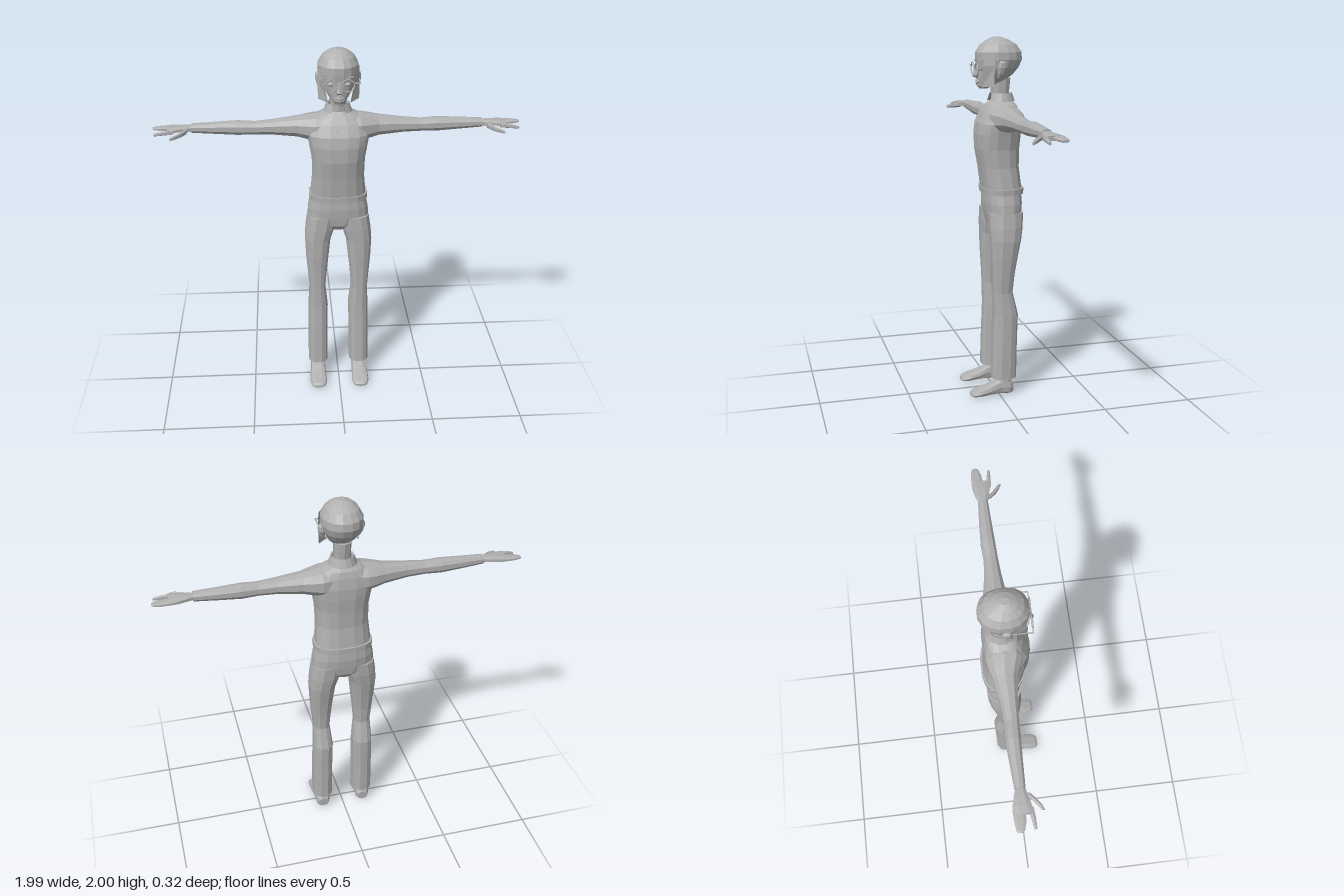
import * as THREE from 'three';

const grey = new THREE.MeshStandardMaterial({ color: 0xb0b0b0, side: THREE.DoubleSide });
grey.name = 'plain grey';

// Split faces so every facet has its own normal
function flat(geo) {
  const g = geo.index ? geo.toNonIndexed() : geo;
  g.computeVertexNormals();
  return g;
}

// Mirror a flat geometry across x = 0, keeping faces outward
function mirrored(geo) {
  const g = geo.clone(), p = g.attributes.position;
  for (let i = 0; i < p.count; i += 3) {
    [0, 2, 1].forEach((s, k) => {
      const q = geo.attributes.position;
      p.setXYZ(i + k, -q.getX(i + s), q.getY(i + s), q.getZ(i + s));
    });
  }
  g.computeVertexNormals();
  return g;
}

// Closed loft along an axis (0 x, 1 y, 2 z).
// Ring = [along, minP, maxP, minQ, maxQ]; P, Q are x,z for y; z,y for x; y,x for z.
function loft(axis, rings, n = 12, e = 0.85) {
  const P = (axis + 2) % 3, Q = (axis + 1) % 3, pos = [], idx = [];
  const put = (t, p, q) => { const v = []; v[axis] = t; v[P] = p; v[Q] = q; pos.push(...v); };
  const bend = (c) => Math.sign(c) * Math.pow(Math.abs(c), e);
  for (const [t, p0, p1, q0, q1] of rings) {
    for (let j = 0; j < n; j++) {
      const a = ((j + 0.5) / n) * Math.PI * 2;
      put(t, (p0 + p1) / 2 + ((p1 - p0) / 2) * bend(Math.cos(a)), (q0 + q1) / 2 + ((q1 - q0) / 2) * bend(Math.sin(a)));
    }
  }
  for (const r of [rings[0], rings[rings.length - 1]]) put(r[0], (r[1] + r[2]) / 2, (r[3] + r[4]) / 2);
  const m = rings.length, low = m * n, high = low + 1;
  for (let j = 0; j < n; j++) {
    const k = (j + 1) % n;
    for (let i = 0; i < m - 1; i++) {
      const a = i * n + j, b = a + n, c = i * n + k, d = c + n;
      idx.push(a, b, c, b, d, c);
    }
    idx.push(low, j, k, high, (m - 1) * n + k, (m - 1) * n + j);
  }
  const g = new THREE.BufferGeometry();
  g.setAttribute('position', new THREE.Float32BufferAttribute(pos, 3));
  g.setIndex(idx);
  return flat(g);
}

export function createModel() {
  const model = new THREE.Group();
  model.name = 'standingFigure';
  const add = (name, geo) => {
    const mesh = new THREE.Mesh(flat(geo), grey);
    mesh.name = name;
    model.add(mesh);
  };
  const pair = (name, geo) => {
    const g = flat(geo);
    add('left' + name, g);
    add('right' + name, mirrored(g));
  };
  const box = (w, h, d, x, y, z) => new THREE.BoxGeometry(w, h, d).translate(x, y, z);
  const sym = (rows) => rows.map(([y, w, z0, z1]) => [y, -w, w, z0, z1]);

  // Head and neck
  add('head', loft(1, sym([
    [1.725, 0.022, 0.03, 0.078], [1.74, 0.04, 0, 0.086], [1.77, 0.062, -0.07, 0.088],
    [1.8, 0.08, -0.11, 0.09], [1.84, 0.1, -0.143, 0.09], [1.88, 0.11, -0.16, 0.095],
    [1.92, 0.108, -0.157, 0.096], [1.96, 0.086, -0.128, 0.07], [1.985, 0.056, -0.085, 0.035],
    [2, 0.02, -0.045, 0],
  ]), 16, 0.92));
  add('neck', loft(1, sym([[1.62, 0.055, -0.1, 0.01], [1.69, 0.044, -0.09, 0.01], [1.78, 0.046, -0.1, 0.02]]), 10));

  // Face
  add('nose', loft(1, sym([[1.785, 0.012, 0.08, 0.103], [1.795, 0.018, 0.08, 0.118], [1.82, 0.011, 0.08, 0.11], [1.85, 0.007, 0.08, 0.1]]), 6));
  add('upperLip', loft(0, [[-0.026, 0.076, 0.088, 1.764, 1.767], [0, 0.08, 0.101, 1.764, 1.775], [0.026, 0.076, 0.088, 1.764, 1.767]], 6));
  add('lowerLip', loft(0, [[-0.024, 0.076, 0.087, 1.76, 1.763], [0, 0.08, 0.098, 1.75, 1.763], [0.024, 0.076, 0.087, 1.76, 1.763]], 6));
  pair('Eye', new THREE.SphereGeometry(0.016, 8, 6).scale(1.1, 0.7, 0.7).translate(0.043, 1.834, 0.079));
  pair('Brow', box(0.045, 0.007, 0.01, 0.045, 1.872, 0.086).rotateY(0.08));
  pair('Ear', loft(1, [
    [1.785, 0.075, 0.1, -0.025, 0], [1.805, 0.085, 0.112, -0.035, 0.002],
    [1.84, 0.09, 0.122, -0.05, 0.002], [1.865, 0.09, 0.122, -0.047, -0.004], [1.875, 0.095, 0.112, -0.035, -0.012],
  ], 8));

  // Glasses
  pair('LensRim', new THREE.TorusGeometry(0.033, 0.0035, 5, 16).translate(0.045, 1.832, 0.102));
  pair('Temple', box(0.005, 0.006, 0.115, 0.108, 1.845, 0.045));
  pair('Hinge', box(0.034, 0.006, 0.005, 0.092, 1.845, 0.1));
  add('glassesBridge', box(0.026, 0.005, 0.005, 0, 1.838, 0.104));

  // Flat hair locks in front of the ears
  const lock = new THREE.BufferGeometry();
  lock.setAttribute('position', new THREE.Float32BufferAttribute([
    0.108, 1.74, 0.022, 0.058, 1.735, 0.078, 0.112, 1.85, 0.02,
    0.082, 1.85, 0.078, 0.108, 1.92, 0.02, 0.085, 1.905, 0.068], 3));
  lock.setIndex([0, 2, 1, 1, 2, 3, 2, 4, 3, 3, 4, 5]);
  pair('HairLock', lock);

  // Jacket body, hem and folded collar
  add('jacketBody', loft(1, sym([
    [1.16, 0.155, -0.152, 0.06], [1.2, 0.152, -0.148, 0.066], [1.3, 0.143, -0.136, 0.08],
    [1.4, 0.146, -0.138, 0.098], [1.48, 0.16, -0.145, 0.1], [1.54, 0.172, -0.145, 0.09],
    [1.6, 0.155, -0.136, 0.06], [1.635, 0.115, -0.125, 0.035], [1.66, 0.06, -0.105, 0.01],
  ]), 16, 0.75));
  add('jacketHem', loft(1, sym([[1.152, 0.162, -0.16, 0.068], [1.185, 0.164, -0.16, 0.07]]), 16, 0.75));
  add('collar', new THREE.LatheGeometry(
    [[0.06, 1.63], [0.053, 1.695], [0.062, 1.7], [0.078, 1.655]].map(([r, y]) => new THREE.Vector2(r, y)),
    12, 0.5, Math.PI * 2 - 1).translate(0, 0, -0.045));
  add('frontPlacket', loft(1, sym([
    [1.19, 0.013, 0.05, 0.07], [1.3, 0.013, 0.06, 0.085], [1.4, 0.012, 0.08, 0.102],
    [1.48, 0.012, 0.08, 0.104], [1.54, 0.011, 0.07, 0.094], [1.6, 0.01, 0.04, 0.064],
  ]), 4, 0.85));

  // Sleeves
  pair('Sleeve', loft(0, [
    [0.05, -0.13, 0.05, 1.5, 1.645], [0.12, -0.14, 0.055, 1.49, 1.64], [0.17, -0.13, 0.035, 1.5, 1.632],
    [0.22, -0.115, 0.015, 1.512, 1.622], [0.35, -0.092, 0, 1.525, 1.607], [0.45, -0.085, -0.007, 1.528, 1.598],
    [0.54, -0.09, -0.01, 1.525, 1.604], [0.65, -0.085, -0.015, 1.533, 1.598], [0.785, -0.076, -0.02, 1.543, 1.592],
  ], 10));

  // Hands: palm, three joined fingers, forefinger, thumb
  pair('Palm', loft(0, [
    [0.77, -0.068, -0.025, 1.552, 1.584], [0.82, -0.085, -0.012, 1.55, 1.584],
    [0.87, -0.098, 0.002, 1.55, 1.582], [0.91, -0.1, 0.008, 1.552, 1.578],
  ], 8));
  pair('Fingers', loft(0, [
    [0.88, -0.099, -0.03, 1.552, 1.578], [0.95, -0.097, -0.036, 1.552, 1.574], [0.985, -0.09, -0.048, 1.554, 1.57], [0.995, -0.082, -0.058, 1.558, 1.567],
  ], 8));
  pair('Forefinger', loft(0, [
    [0.88, -0.022, 0.008, 1.548, 1.574], [0.94, -0.012, 0.012, 1.545, 1.568], [0.983, -0.004, 0.011, 1.543, 1.558],
  ], 6));
  pair('Thumb', loft(0, [
    [0.81, -0.03, -0.002, 1.545, 1.575], [0.84, 0, 0.028, 1.538, 1.566],
    [0.87, 0.025, 0.05, 1.535, 1.558], [0.895, 0.045, 0.06, 1.533, 1.55],
  ], 6));

  // Trousers
  add('trouserSeat', loft(1, sym([
    [0.97, 0.05, -0.115, 0.02], [1, 0.11, -0.137, 0.042], [1.05, 0.172, -0.145, 0.05],
    [1.1, 0.168, -0.15, 0.054], [1.18, 0.152, -0.145, 0.052],
  ]), 16, 0.75));
  pair('TrouserLeg', loft(1, [
    [0.098, 0.064, 0.178, -0.1, 0.042], [0.3, 0.063, 0.177, -0.104, 0.036], [0.47, 0.06, 0.174, -0.11, 0.03],
    [0.6, 0.074, 0.168, -0.078, 0.032], [0.7, 0.065, 0.177, -0.088, 0.036], [0.8, 0.054, 0.185, -0.105, 0.042],
    [0.9, 0.043, 0.19, -0.125, 0.046], [0.97, 0.02, 0.185, -0.137, 0.05], [1.05, 0.005, 0.173, -0.142, 0.05],
  ], 12, 0.75));

  // Ankles and feet
  pair('Ankle', loft(1, [[0.03, 0.08, 0.165, -0.08, 0.02], [0.08, 0.085, 0.16, -0.075, 0.01], [0.14, 0.09, 0.155, -0.07, 0]], 10));
  pair('Foot', loft(2, [
    [-0.08, 0.006, 0.06, 0.095, 0.152], [-0.06, 0, 0.085, 0.082, 0.163], [0, 0.004, 0.088, 0.08, 0.165],
    [0.06, 0.002, 0.058, 0.077, 0.17], [0.12, 0, 0.038, 0.074, 0.173], [0.15, 0, 0.028, 0.082, 0.165],
    [0.163, 0.003, 0.018, 0.1, 0.148],
  ], 10, 0.7));

  return model;
}
